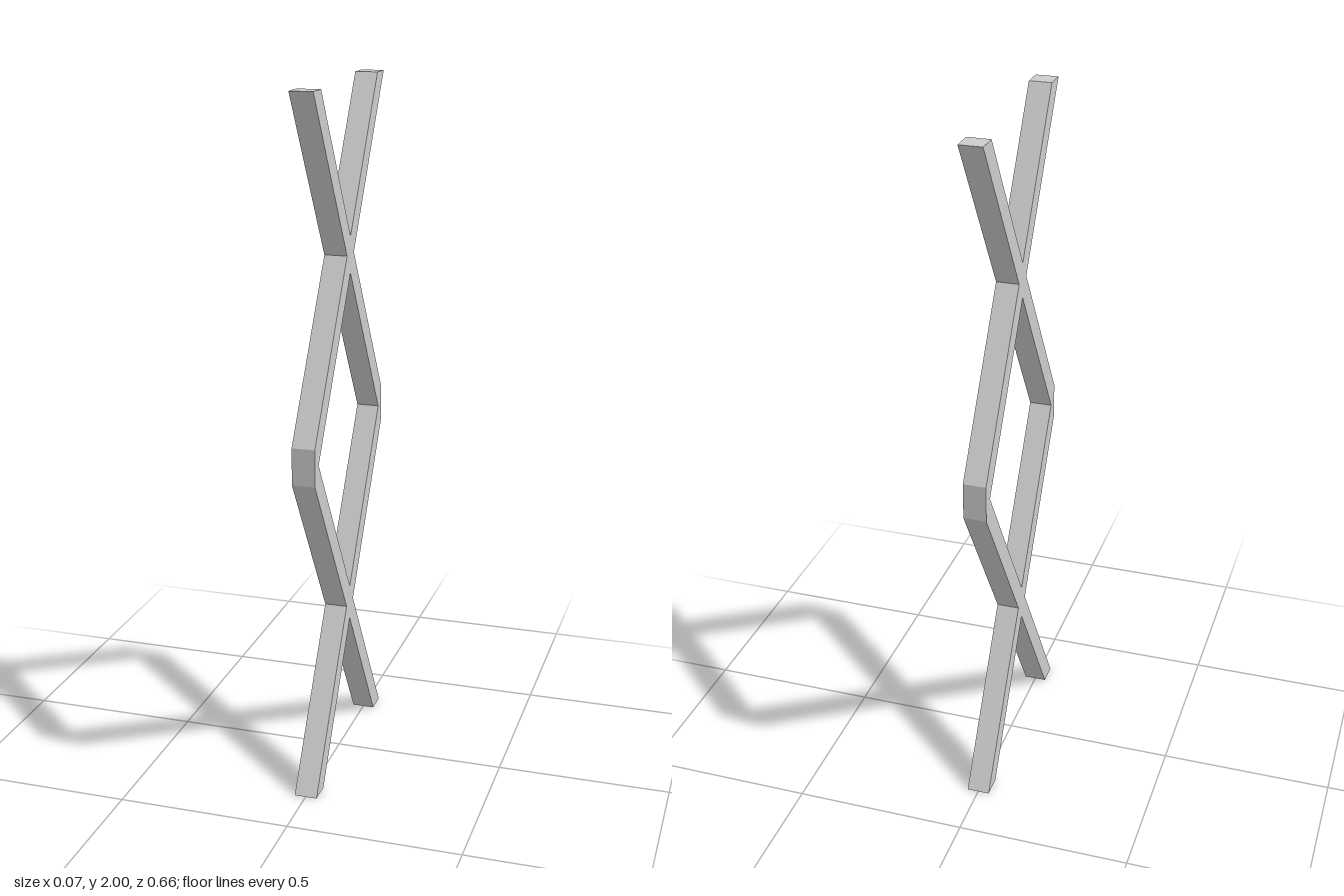
import * as THREE from 'three';

const WIDTH = 0.066; // bar thickness along x

export function createModel() {
  const group = new THREE.Group();
  group.name = 'crossedLattice';

  // Lower +z quarter of the outline, as (z, y); the rest is mirrored
  const quarter = [[0, 0.425], [0.266, 0], [0.332, 0], [0.033, 0.475], [0.332, 0.947]];
  const half = [...quarter, ...quarter.map(([z, y]) => [z, 2 - y]).reverse()];
  const otherHalf = half.slice(1, -1).map(([z, y]) => [-z, y]).reverse();
  const shape = new THREE.Shape([...half, ...otherHalf].map(([z, y]) => new THREE.Vector2(z, y)));

  // Diamond opening between the two crossings
  const diamond = [[0, 0.528], [-0.299, 1], [0, 1.472], [0.299, 1]];
  shape.holes.push(new THREE.Path(diamond.map(([z, y]) => new THREE.Vector2(z, y))));

  // Extrude and turn so that the profile lies in the z-y plane
  const geometry = new THREE.ExtrudeGeometry(shape, { depth: WIDTH, bevelEnabled: false });
  geometry.translate(0, 0, -WIDTH / 2);
  geometry.rotateY(-Math.PI / 2);

  const material = new THREE.MeshStandardMaterial({ color: 0xcccccc, flatShading: true });
  const bars = new THREE.Mesh(geometry, material);
  bars.name = 'crossedBars';
  group.add(bars);
  return group;
}
